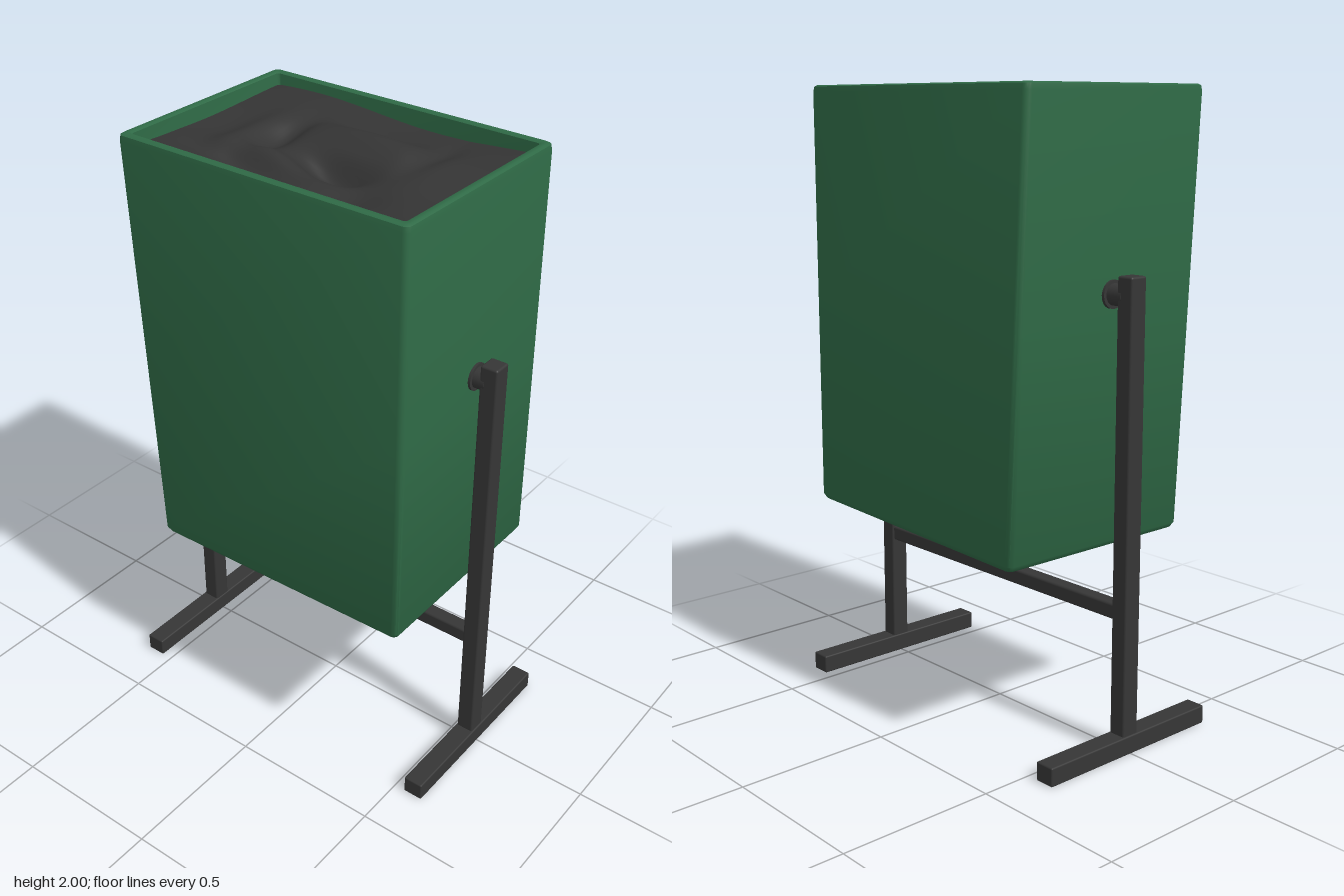
import * as THREE from 'three';
import { toCreasedNormals } from 'three/addons/utils/BufferGeometryUtils.js';
import { RoundedBoxGeometry } from 'three/addons/geometries/RoundedBoxGeometry.js';

const green = new THREE.MeshStandardMaterial({ name: 'green paint', color: 0x2f6a46 });
const dark = new THREE.MeshStandardMaterial({ name: 'dark steel', color: 0x363636 });
const liner = new THREE.MeshStandardMaterial({ name: 'black liner', color: 0x343434 });

function add(parent, name, geometry, material, x = 0, y = 0, z = 0) {
  const mesh = new THREE.Mesh(geometry, material);
  mesh.name = name;
  mesh.position.set(x, y, z);
  parent.add(mesh);
  return mesh;
}

// Rounded rectangle outline, listed from +x towards +z
function outline(x0, x1, z0, z1, r) {
  const pts = [];
  const corners = [[x1 - r, z1 - r], [x0 + r, z1 - r], [x0 + r, z0 + r], [x1 - r, z0 + r]];
  corners.forEach(([cx, cz], k) => {
    for (let i = 0; i <= 4; i++) {
      const a = (k + i / 4) * Math.PI / 2;
      pts.push([cx + r * Math.cos(a), cz + r * Math.sin(a)]);
    }
  });
  return pts;
}

// Bin shell: inset loops from the underside, up the walls, over the rim and down inside
function binGeometry() {
  const loops = [
    // t = height from 0 (base) to 1 (rim), inset from the outer wall
    [0, 0.34], [0, 0.022], [0.004, 0.009], [0.016, 0], [0.5, 0], [0.985, 0],
    [0.997, 0.003], [1, 0.01], [1, 0.024], [0.997, 0.03], [0.9, 0.034],
  ];
  const pos = [], idx = [];
  let n = 0;
  for (const [t, d] of loops) {
    const back = -0.45 - 0.07 * t;
    const pts = outline(-0.36 + d, 0.36 - d, back + d, 0.508 - d, Math.max(0.006, 0.02 - d * 0.3));
    n = pts.length;
    for (const [x, z] of pts) {
      const base = 0.626 + z * 0.03; // the base slopes down to the back
      pos.push(x - 0.014 * z, base + (2 - base) * t, z);
    }
  }
  for (let j = 0; j < loops.length - 1; j++) {
    for (let i = 0; i < n; i++) {
      const a = j * n + i, b = j * n + (i + 1) % n;
      idx.push(a, a + n, b, b, a + n, b + n);
    }
  }
  // close the underside
  for (let i = 1; i < n - 1; i++) idx.push(0, i, i + 1);
  const g = new THREE.BufferGeometry();
  g.setAttribute('position', new THREE.Float32BufferAttribute(pos, 3));
  g.setIndex(idx);
  return toCreasedNormals(g, 0.7);
}

// Crumpled liner: a sheet with soft folds around a central hollow
function linerGeometry() {
  const g = new THREE.PlaneGeometry(0.68, 0.97, 56, 76).rotateX(-Math.PI / 2);
  const p = g.attributes.position;
  // centre x, centre z, radius x, radius z, height
  const folds = [
    [-0.05, 0.05, 0.08, 0.13, -0.09], [-0.2, -0.15, 0.06, 0.17, -0.045],
    [-0.13, -0.14, 0.05, 0.15, 0.03], [0.1, 0.02, 0.08, 0.22, 0.03],
    [0.05, -0.22, 0.12, 0.05, -0.035], [-0.19, 0.2, 0.09, 0.1, -0.03],
    [0.22, 0, 0.05, 0.2, -0.02], [0, 0.05, 0.04, 0.1, 0.03],
    [-0.02, -0.3, 0.16, 0.05, 0.02], [0.12, 0.25, 0.12, 0.04, -0.02],
  ];
  for (let i = 0; i < p.count; i++) {
    const x = p.getX(i), z = p.getZ(i);
    let y = 1.955 + 0.012 * Math.cos(9 * x) * Math.sin(7 * z + 0.6);
    for (const [cx, cz, rx, rz, h] of folds) {
      y += h * Math.exp(-(((x - cx) / rx) ** 2) - ((z - cz) / rz) ** 2);
    }
    p.setXYZ(i, x, Math.min(y, 1.99), z - 0.006);
  }
  g.computeVertexNormals();
  return g;
}

export function createModel() {
  const model = new THREE.Group();
  model.name = 'litterBin';

  const bin = new THREE.Group();
  bin.name = 'bin';
  model.add(bin);
  add(bin, 'binShell', binGeometry(), green);
  add(bin, 'binLiner', linerGeometry(), liner);

  const stand = new THREE.Group();
  stand.name = 'stand';
  model.add(stand);
  for (const [side, s] of [['front', 1], ['back', -1]]) {
    add(stand, side + 'Foot', new RoundedBoxGeometry(0.67, 0.06, 0.066, 2, 0.005), dark, 0, 0.03, s * 0.569);
    add(stand, side + 'Post', new RoundedBoxGeometry(0.062, 1.42, 0.058, 2, 0.007), dark, 0, 0.75, s * 0.568);
    // pivot pin with a flange against the bin wall
    const pin = new THREE.CylinderGeometry(0.033, 0.033, 0.07, 20).rotateX(Math.PI / 2);
    add(stand, side + 'Pivot', pin, dark, 0, 1.4, s * 0.52);
    const flange = new THREE.CylinderGeometry(0.043, 0.043, 0.012, 20).rotateX(Math.PI / 2);
    add(stand, side + 'PivotFlange', flange, dark, 0, 1.4, s > 0 ? 0.51 : -0.493);
  }
  add(stand, 'crossbar', new RoundedBoxGeometry(0.05, 0.05, 1.1, 2, 0.008), dark, 0, 0.445, 0);
  return model;
}
